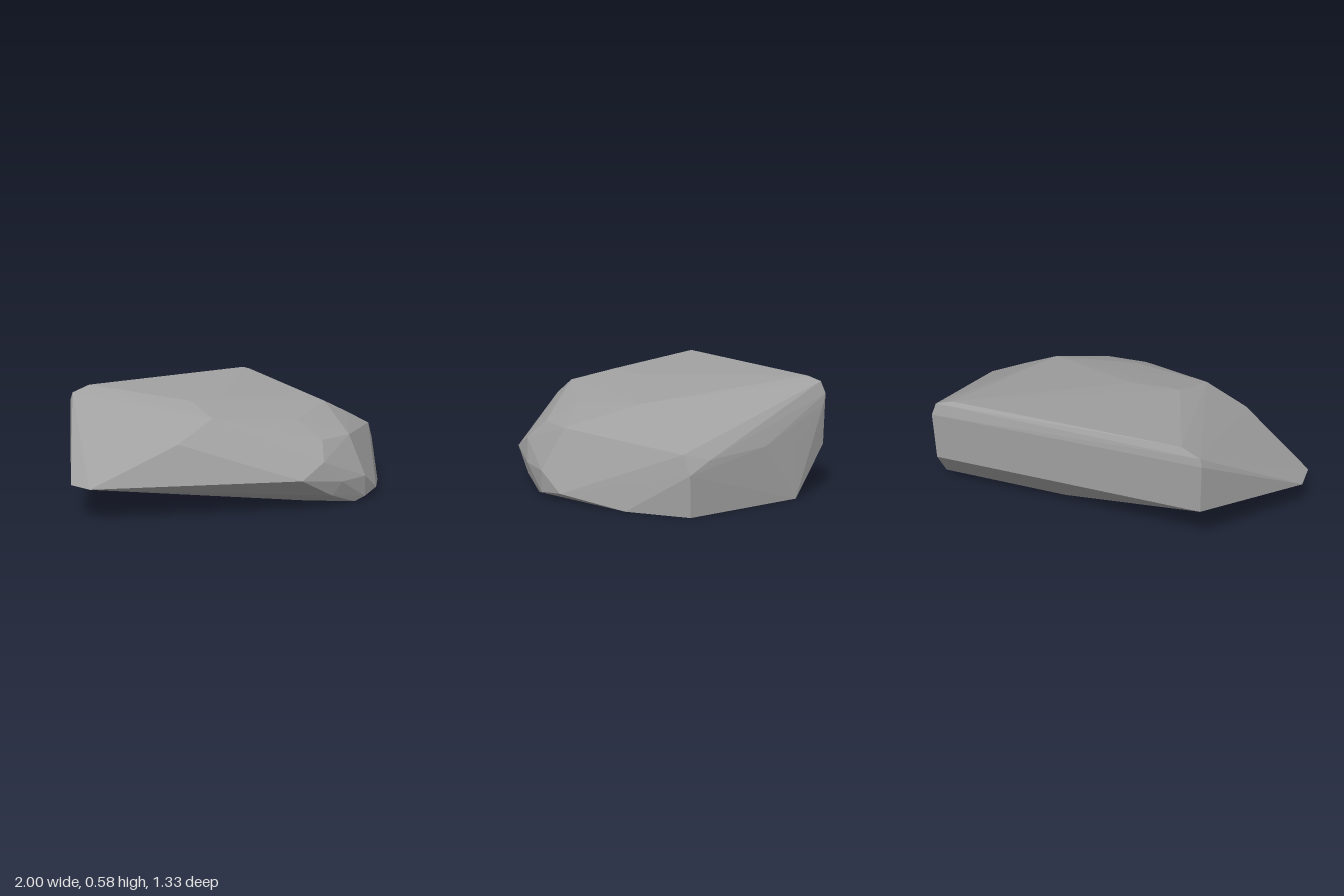
import * as THREE from 'three';
import { ConvexGeometry } from 'three/addons/geometries/ConvexGeometry.js';

// A faceted boulder: the convex skin around a few groups of corner points.
const crown = [
  [-0.49, 0.575, -0.64], [0.74, 0.578, -0.63], [0.82, 0.56, -0.65], [-0.59, 0.54, -0.66],
  [-0.29, 0.525, -0.03], [-0.02, 0.525, -0.04],
];
const shoulder = [
  [-0.6, 0.36, 0.2], [-0.37, 0.465, 0.21], [0.53, 0.465, 0.21], [0.72, 0.385, 0.22],
  [0.95, 0.29, 0.21], [0.1, 0.42, 0.37],
];
const nose = [
  [0.1, 0.337, 0.55], [0.33, 0.337, 0.545], [0.02, 0.24, 0.627], [0.12, 0.13, 0.667],
  [0.32, 0.13, 0.667], [0.32, 0.02, 0.667], [0.47, 0.04, 0.63], [-0.14, 0.165, 0.62],
  [0.07, 0.06, 0.645],
];
const leftTip = [[-1, 0.165, 0], [-1, 0.165, -0.15]];
const rightSide = [
  [1, 0.2, 0.2], [0.98, 0.26, 0.08], [0.94, 0.285, -0.25], [0.905, 0.27, -0.45],
];
const back = [
  [0.84, 0.5, -0.667], [0.85, 0.45, -0.65], [0.84, 0.24, -0.662],
  [-0.6, 0.5, -0.667], [-0.6, 0.24, -0.662],
];
const base = [
  [1, 0, 0.195], [0.93, 0, -0.44], [0.21, 0, -0.44], [0.08, 0, 0.45],
  [0.25, 0, 0.652], [0.77, 0, 0.42],
];

export function createModel() {
  const group = new THREE.Group();
  group.name = 'boulder';
  const stone = new THREE.MeshStandardMaterial({ color: 0xa0a0a0 });
  stone.name = 'grey stone';
  stone.flatShading = true;

  const corners = [crown, shoulder, nose, leftTip, rightSide, back, base]
    .flat().map((p) => new THREE.Vector3(...p));
  const rock = new THREE.Mesh(new ConvexGeometry(corners), stone);
  rock.name = 'rock';
  group.add(rock);
  return group;
}
